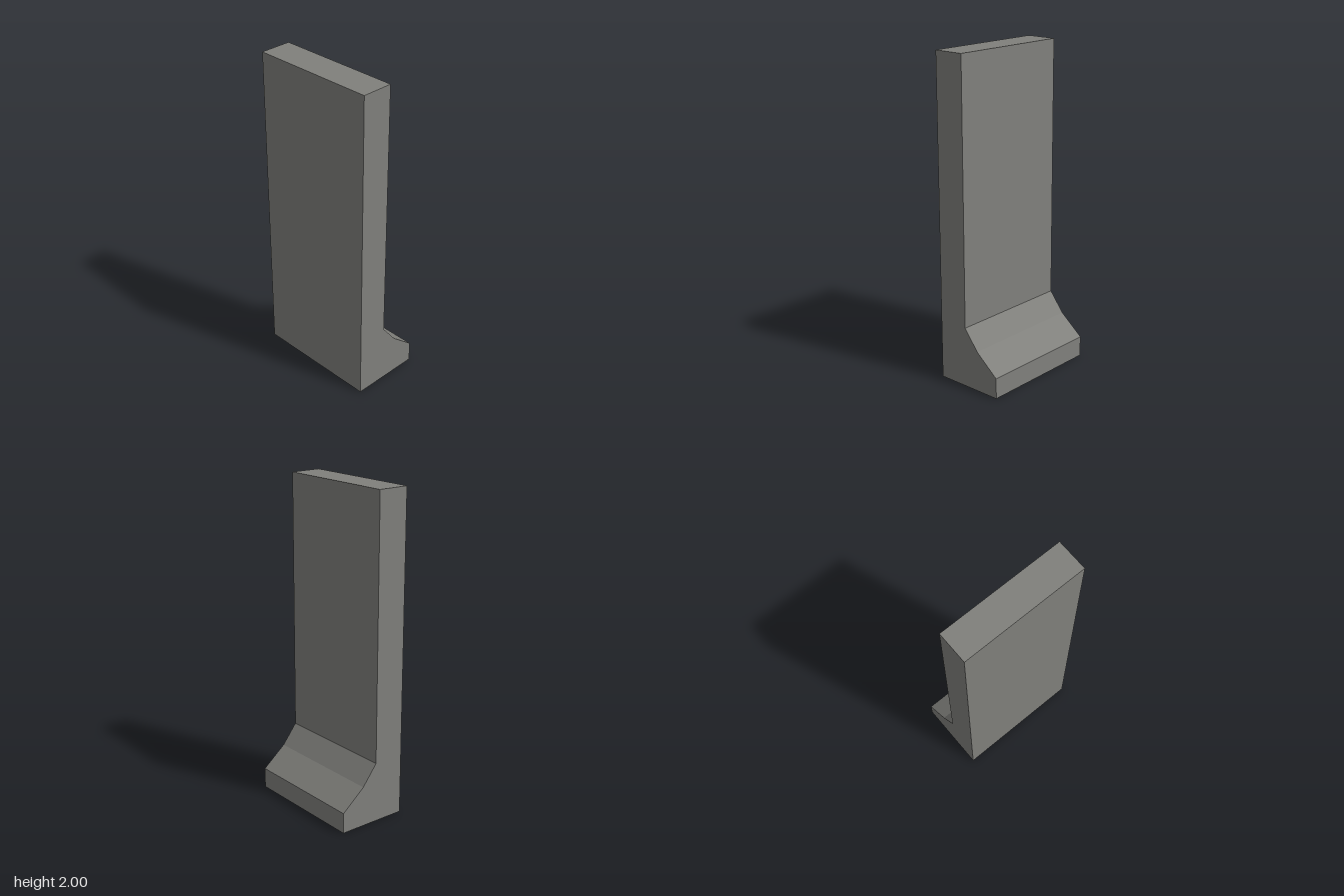
import * as THREE from 'three';

export function createModel() {
  const group = new THREE.Group();
  group.name = 'retainingWall';
  const concrete = new THREE.MeshStandardMaterial({ color: 0x80807c });
  concrete.name = 'concrete grey';

  // L-shaped cross-section: upright stem, two-step haunch and toe
  const profile = new THREE.Shape([
    [-0.222, 0], [0.222, 0], [0.222, 0.128], [0.072, 0.252],
    [-0.025, 0.377], [-0.025, 2], [-0.222, 2],
  ].map(([x, y]) => new THREE.Vector2(x, y)));

  // Extrude along the wall's length, centred on z
  const length = 0.794;
  const geometry = new THREE.ExtrudeGeometry(profile, { depth: length, bevelEnabled: false });
  geometry.translate(0, 0, -length / 2);

  const wall = new THREE.Mesh(geometry, concrete);
  wall.name = 'wallSection';
  group.add(wall);
  return group;
}
